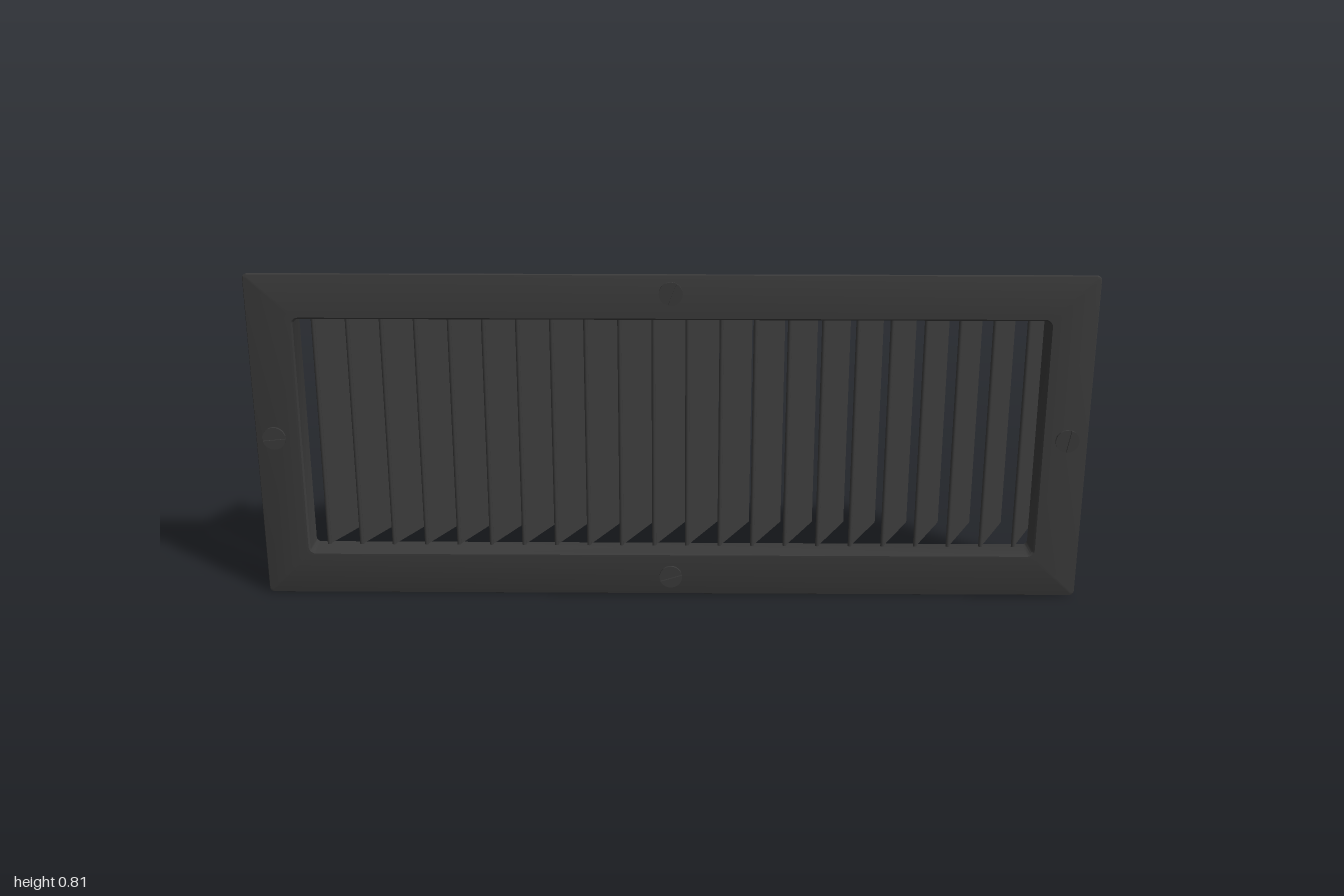
import * as THREE from 'three';
import { toCreasedNormals } from 'three/addons/utils/BufferGeometryUtils.js';

const MID_Y = 0.4075;
const metal = new THREE.MeshStandardMaterial({ color: 0x3a3a3a });

function add(parent, name, geometry) {
  const mesh = new THREE.Mesh(geometry, metal);
  mesh.name = name;
  parent.add(mesh);
  return mesh;
}

// Rounded rectangle as a counter-clockwise loop of points at depth z
function roundedLoop([hw, hh, r, z]) {
  const points = [];
  const steps = 5;
  [[1, 1], [-1, 1], [-1, -1], [1, -1]].forEach(([sx, sy], corner) => {
    for (let k = 0; k <= steps; k++) {
      const a = (corner + k / steps) * Math.PI / 2;
      points.push([sx * (hw - r) + r * Math.cos(a), sy * (hh - r) + r * Math.sin(a), z]);
    }
  });
  return points;
}

// Closed ring skinned through a cycle of rounded rectangles
function ringGeometry(sections) {
  const loops = sections.map(roundedLoop);
  const positions = [];
  loops.forEach((loop, j) => {
    const next = loops[(j + 1) % loops.length];
    loop.forEach((a, i) => {
      const n = (i + 1) % loop.length;
      positions.push(...a, ...next[i], ...next[n], ...a, ...next[n], ...loop[n]);
    });
  });
  const geometry = new THREE.BufferGeometry();
  geometry.setAttribute('position', new THREE.Float32BufferAttribute(positions, 3));
  geometry.computeVertexNormals();
  return toCreasedNormals(geometry, 0.6);
}

// Slotted screw: head made of two half discs over a base, shank through the plate
function makeScrew(x, y, turn) {
  const screw = new THREE.Group();
  screw.name = 'screw';
  const r = 0.028;
  const half = new THREE.Shape();
  const a0 = Math.asin(0.004 / r);
  half.absarc(0, 0, r, a0, Math.PI - a0, false);
  half.closePath();
  for (const side of [0, 1]) {
    const geometry = new THREE.ExtrudeGeometry(half, { depth: 0.005, bevelEnabled: false, curveSegments: 16 });
    const mesh = add(screw, 'screwHeadHalf', toCreasedNormals(geometry, 0.6));
    mesh.position.z = 0.099;
    mesh.rotation.z = side * Math.PI;
  }
  const base = add(screw, 'screwHeadBase', new THREE.CylinderGeometry(r, r, 0.004, 32));
  base.rotation.x = Math.PI / 2;
  base.position.z = 0.0975;
  const shank = add(screw, 'screwShank', new THREE.CylinderGeometry(0.014, 0.014, 0.016, 20));
  shank.rotation.x = Math.PI / 2;
  shank.position.z = 0.089;
  screw.position.set(x, y, 0);
  screw.rotation.z = turn;
  return screw;
}

export function createModel() {
  const model = new THREE.Group();
  model.name = 'ventGrille';

  // Face plate with its collar: half width, half height, corner radius, z
  const frame = add(model, 'frame', ringGeometry([
    [0.888, 0.297, 0.012, 0.032],
    [0.890, 0.298, 0.014, 0.094],
    [0.894, 0.302, 0.018, 0.098],
    [0.993, 0.4005, 0.008, 0.098],
    [0.998, 0.4055, 0.010, 0.096],
    [1.000, 0.4075, 0.012, 0.092],
    [0.999, 0.4065, 0.012, 0.087],
    [0.994, 0.4015, 0.010, 0.085],
    [0.904, 0.3135, 0.020, 0.081],
    [0.902, 0.312, 0.020, 0.078],
    [0.898, 0.308, 0.020, 0.032],
  ]));
  frame.position.y = MID_Y;

  // Row of upright angled slats, each with a rounded front edge
  const slats = new THREE.Group();
  slats.name = 'slats';
  model.add(slats);
  const count = 22, height = 0.594;
  const dx = 0.078, dz = 0.157;
  const blade = new THREE.BoxGeometry(0.005, height, Math.hypot(dx, dz));
  const nose = new THREE.CylinderGeometry(0.005, 0.005, height, 12);
  for (let i = 0; i < count; i++) {
    const slat = new THREE.Group();
    slat.name = 'slat';
    slat.position.set(-0.775 + i * 0.081 - dx / 2, MID_Y + 0.0025, -0.103 + dz / 2);
    slat.rotation.y = -Math.atan2(dx, dz);
    add(slat, 'slatBlade', blade);
    add(slat, 'slatFrontEdge', nose).position.z = Math.hypot(dx, dz) / 2 - 0.003;
    slats.add(slat);
  }

  // One screw in the middle of each side of the plate
  model.add(
    makeScrew(0, 0.77, 1.2), makeScrew(0, 0.049, 0.3),
    makeScrew(-0.955, 0.409, 0.1), makeScrew(0.95, 0.409, 1.4),
  );
  return model;
}
